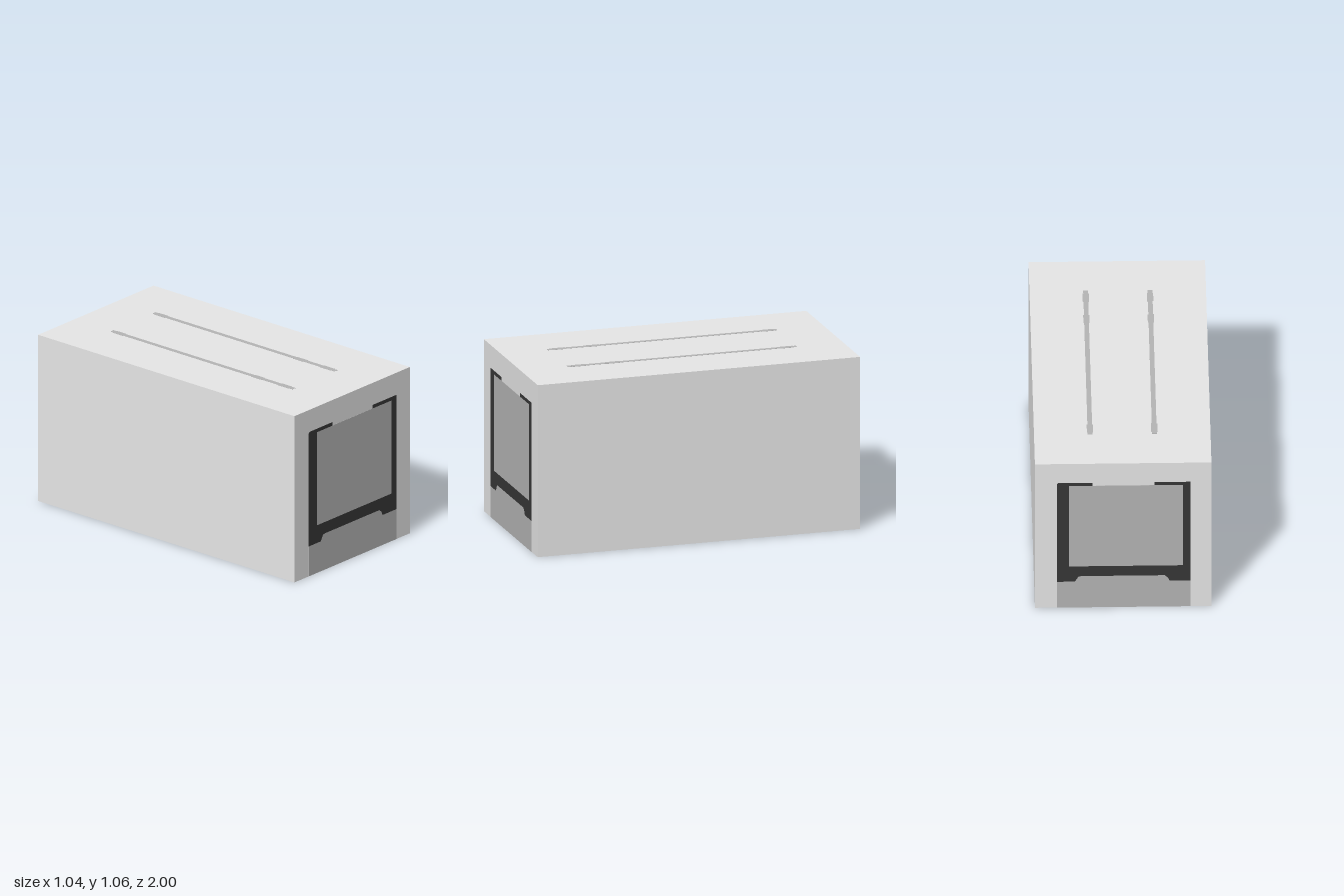
import * as THREE from 'three';

const W = 0.521, H = 1.055, L = 0.999; // half width, height, half length

export function createModel() {
  const mat = (name, color, extra = {}) => {
    const m = new THREE.MeshStandardMaterial({ color, ...extra });
    m.name = name;
    return m;
  };
  const shellWhite = mat('off-white shell', 0xececec, { side: THREE.DoubleSide });
  const trayWhite = mat('pale grey tray', 0xdcdcdc);
  const panelGrey = mat('mid grey panel', 0xb5b5b5);
  const trimDark = mat('dark trim', 0x373737);

  const model = new THREE.Group();
  model.name = 'toaster';
  const add = (parent, name, geometry, material, x = 0, y = 0, z = 0) => {
    const mesh = new THREE.Mesh(geometry, material);
    mesh.name = name;
    mesh.position.set(x, y, z);
    parent.add(mesh);
    return mesh;
  };

  // Open-bottomed shell: four walls and a lid
  const shell = new THREE.Group();
  shell.name = 'shell';
  model.add(shell);
  for (const s of [-1, 1]) {
    add(shell, 'sideWall', new THREE.PlaneGeometry(2 * L, H), shellWhite, s * W, H / 2, 0)
      .rotation.y = s * Math.PI / 2;
    add(shell, 'endWall', new THREE.PlaneGeometry(2 * W, H), shellWhite, 0, H / 2, s * L)
      .rotation.y = s > 0 ? 0 : Math.PI;
  }
  add(shell, 'lid', new THREE.PlaneGeometry(2 * W, 2 * L), shellWhite, 0, H, 0)
    .rotation.x = -Math.PI / 2;

  // Flat plate that shows on both faces of an end wall
  const plate = (points) => {
    const shape = new THREE.Shape(points.map(([x, y]) => new THREE.Vector2(x, y)));
    return new THREE.ExtrudeGeometry(shape, { depth: 0.002, bevelEnabled: false })
      .translate(0, 0, -0.001);
  };
  const arch = [[-0.285, 0.19], [-0.265, 0.225], [-0.25, 0.23], [0.245, 0.23], [0.262, 0.215], [0.275, 0.19]];
  const lower = [[-0.392, 0], [0.398, 0], [0.398, 0.19], ...arch.slice().reverse(), [-0.392, 0.19]];
  const frame = [
    [-0.392, 0.19], ...arch, [0.398, 0.19], [0.398, 0.915], [0.185, 0.915], [0.185, 0.893],
    [0.352, 0.893], [0.352, 0.302], [-0.32, 0.302], [-0.32, 0.893], [-0.18, 0.893],
    [-0.18, 0.915], [-0.385, 0.915], [-0.392, 0.908],
  ];
  const inner = [[-0.32, 0.302], [0.352, 0.302], [0.352, 0.893], [-0.32, 0.893]];

  // Both ends carry the same panel, turned half way round
  for (const turn of [0, Math.PI]) {
    const end = new THREE.Group();
    end.name = turn ? 'backPanel' : 'frontPanel';
    end.rotation.y = turn;
    model.add(end);
    add(end, 'lowerPanel', plate(lower), panelGrey, 0, 0, L);
    add(end, 'panelFrame', plate(frame), trimDark, 0, 0, L);
    add(end, 'innerPanel', plate(inner), panelGrey, 0, 0, L);
  }

  // Two long slots in the lid with slightly wider ends
  for (const s of [-1, 1]) {
    const slot = new THREE.Group();
    slot.name = s < 0 ? 'rightSlot' : 'leftSlot';
    slot.position.set(s * 0.19, H, 0);
    model.add(slot);
    add(slot, 'slotStrip', new THREE.BoxGeometry(0.028, 0.002, 1.42), panelGrey);
    for (const z of [-0.65, 0.43, 0.64])
      add(slot, 'slotEnd', new THREE.BoxGeometry(0.037, 0.002, 0.08), panelGrey, 0, 0, z);
  }

  // Crumb tray: base plate with two low side walls facing outwards
  const tray = new THREE.Group();
  tray.name = 'crumbTray';
  model.add(tray);
  add(tray, 'trayBase', new THREE.BoxGeometry(0.88, 0.006, 1.03), trayWhite, 0, 0.003, 0);
  for (const s of [-1, 1])
    add(tray, 'trayWall', new THREE.PlaneGeometry(1.03, 0.2), trayWhite, s * 0.44, 0.106, 0)
      .rotation.y = s * Math.PI / 2;

  return model;
}
